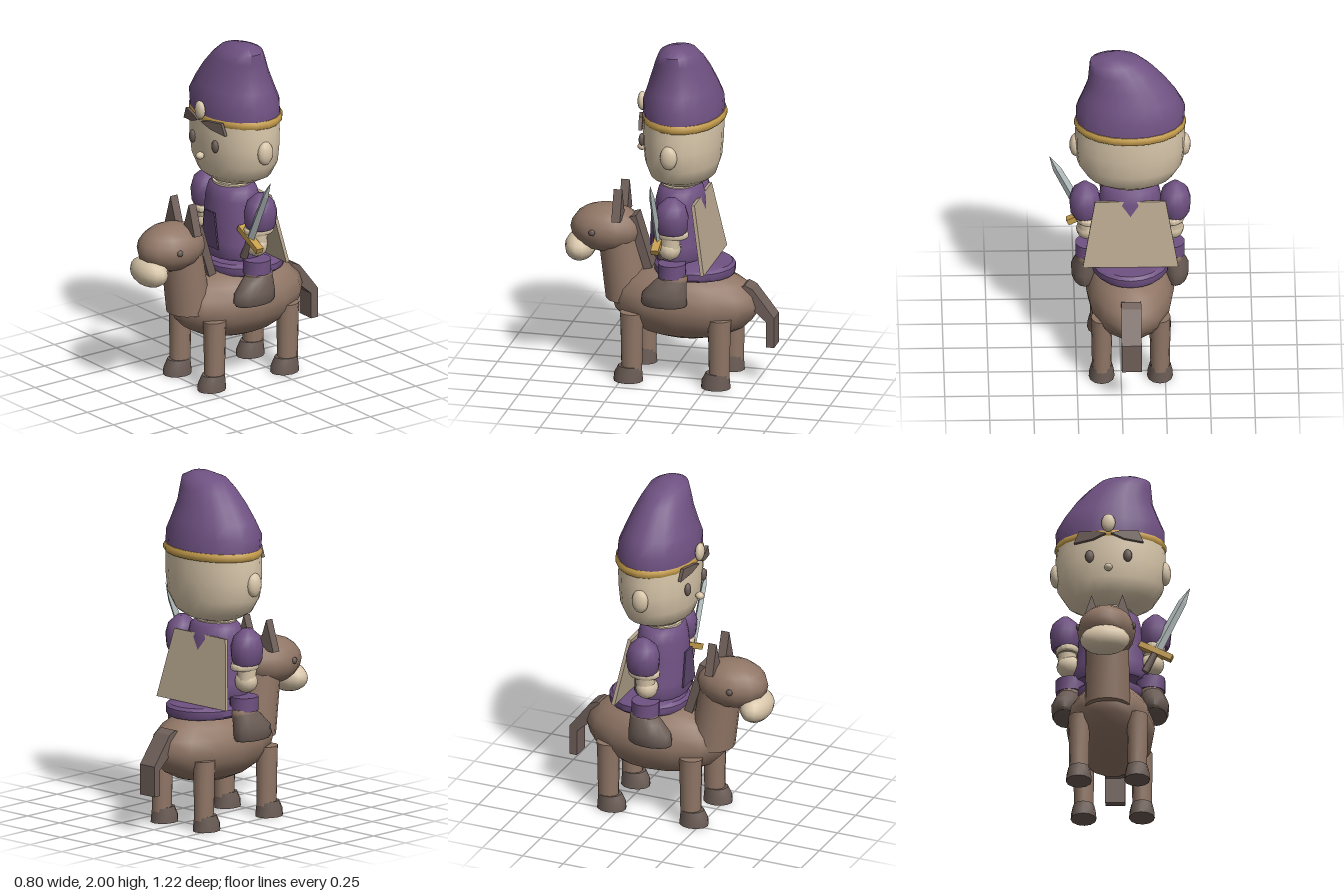
import * as THREE from 'three';
import { toCreasedNormals } from 'three/addons/utils/BufferGeometryUtils.js';

const colours = {
  purple: 0x6f5182, darkPurple: 0x5c456c, skin: 0xd8c6aa, coat: 0x907666, hoofBrown: 0x6b5c55,
  maneBrown: 0x70605a, gold: 0xc49c4c, steel: 0xb6c0c0, capeTan: 0xb8a78f,
};
const mats = {};

// Stacked ellipses, rows listed from bottom to top: [y, rx, rz, cx, cz]
function loft(rows, n = 16, crease = 0.75) {
  const all = [[rows[0][0], 0, 0, rows[0][3], rows[0][4]], ...rows];
  const top = rows[rows.length - 1];
  all.push([top[0], 0, 0, top[3], top[4]]);
  const pos = [], idx = [];
  all.forEach(([y, rx, rz, cx = 0, cz = 0], i) => {
    for (let j = 0; j < n; j++) {
      const a = (j / n) * Math.PI * 2;
      pos.push(cx + rx * Math.sin(a), y, cz + rz * Math.cos(a));
      if (i === all.length - 1) continue;
      const p = i * n + j, q = i * n + ((j + 1) % n);
      if (i > 0) idx.push(p, q, q + n);
      if (i < all.length - 2) idx.push(p, q + n, p + n);
      if (i === 0) idx.splice(idx.length - 3, 3, p, q + n, p + n);
    }
  });
  const g = new THREE.BufferGeometry();
  g.setAttribute('position', new THREE.Float32BufferAttribute(pos, 3));
  g.setIndex(idx);
  return toCreasedNormals(g, crease);
}

const ellipsoid = (rx, ry, rz, w = 14, h = 10) => new THREE.SphereGeometry(1, w, h).scale(rx, ry, rz);

// Flat outline thickened along z and centred on it
function plate(points, depth) {
  const shape = new THREE.Shape(points.map(([x, y]) => new THREE.Vector2(x, y)));
  return new THREE.ExtrudeGeometry(shape, { depth, bevelEnabled: false }).translate(0, 0, -depth / 2);
}

function add(parent, name, geo, colour, x = 0, y = 0, z = 0) {
  const m = new THREE.Mesh(geo, mats[colour]);
  m.name = name;
  m.position.set(x, y, z);
  parent.add(m);
  return m;
}

function buildHorse(root) {
  const horse = new THREE.Group();
  horse.name = 'horse';
  root.add(horse);
  add(horse, 'horseBody', ellipsoid(0.25, 0.22, 0.43, 14, 10).rotateY(0), 'coat', 0, 0.455, -0.085);
  add(horse, 'horseNeck', loft([[0.44, 0.13, 0.13, 0, 0.25], [0.85, 0.12, 0.12, 0, 0.31]]), 'coat');
  add(horse, 'horseHead', ellipsoid(0.165, 0.14, 0.21), 'coat', 0, 0.85, 0.375);
  add(horse, 'muzzle', ellipsoid(0.142, 0.087, 0.088), 'skin', 0, 0.73, 0.527);

  // Mane strip down the back of the neck
  const mane = add(horse, 'mane', new THREE.BoxGeometry(0.113, 0.36, 0.05), 'maneBrown', 0, 0.77, 0.165);
  mane.rotation.x = 0.3;

  // Bent tail, side outline as (z, y)
  const tail = plate([[-0.37, 0.55], [-0.44, 0.585], [-0.485, 0.565], [-0.612, 0.4],
    [-0.612, 0.225], [-0.565, 0.225], [-0.565, 0.375]].map(([z, y]) => [-z, y]), 0.113);
  add(horse, 'tail', tail.rotateY(Math.PI / 2), 'maneBrown');

  for (const s of [-1, 1]) {
    add(horse, 'horseEar', plate(s > 0 ? [[0.025, 0.93], [0.145, 0.93], [0.088, 1.11]]
      : [[-0.145, 0.93], [-0.025, 0.93], [-0.088, 1.11]], 0.05), 'maneBrown', 0, 0, 0.29);
    add(horse, 'horseEye', ellipsoid(0.012, 0.019, 0.019, 10, 8), 'hoofBrown', s * 0.158, 0.86, 0.425);
    for (const z of [0.19, -0.32]) {
      add(horse, 'horseLeg', loft([[0.05, 0.054, 0.06], [0.36, 0.06, 0.066], [0.41, 0.06, 0.07]], 12), 'coat', s * 0.165, 0, z);
      add(horse, 'hoof', loft([[0, 0.073, 0.086], [0.04, 0.07, 0.083], [0.09, 0.06, 0.068, 0, -0.01]], 12), 'hoofBrown', s * 0.165, 0, z + 0.02);
    }
  }
  add(horse, 'saddle', loft([[0.63, 0.205, 0.225], [0.645, 0.22, 0.232], [0.68, 0.22, 0.232], [0.697, 0.2, 0.215]], 20), 'purple', 0, 0, -0.138);
}

function buildHead(rider) {
  add(rider, 'neck', loft([[1.11, 0.1, 0.09], [1.19, 0.1, 0.09]]), 'skin', 0, 0, -0.05);
  add(rider, 'head', loft([[1.165, 0.1, 0.075], [1.185, 0.17, 0.135], [1.225, 0.245, 0.185], [1.31, 0.3, 0.212],
    [1.42, 0.312, 0.222], [1.5, 0.312, 0.225], [1.58, 0.305, 0.222]], 20, 1), 'skin', 0, 0, -0.07);
  add(rider, 'nose', ellipsoid(0.024, 0.022, 0.026, 10, 8), 'skin', 0, 1.35, 0.172);
  for (const s of [-1, 1]) {
    add(rider, 'ear', ellipsoid(0.035, 0.07, 0.05, 12, 8), 'skin', s * 0.308, 1.405, -0.06);
    add(rider, 'eye', ellipsoid(0.025, 0.038, 0.018, 12, 8), 'hoofBrown', s * 0.108, 1.43, 0.146);
    // Bow tails spreading from the cap ornament
    const tail = add(rider, 'bowTail', plate([[0.015, 1.56], [0.06, 1.575], [0.17, 1.585], [0.2, 1.515], [0.09, 1.53]]
      .map(([x, y]) => [s * x, y]), 0.02), 'maneBrown', 0, 0, 0.172);
    tail.rotation.y = s * 0.2;
  }
  // Leaning cap with a gold band
  add(rider, 'cap', loft([[1.57, 0.305, 0.226, 0, -0.075], [1.67, 0.309, 0.225, -0.003, -0.07], [1.75, 0.27, 0.196, 0.003, -0.068],
    [1.84, 0.22, 0.164, 0.019, -0.065], [1.915, 0.182, 0.134, 0.05, -0.062], [1.97, 0.146, 0.106, 0.081, -0.06],
    [2.0, 0.055, 0.045, 0.11, -0.06]], 20, 1), 'purple');
  add(rider, 'capBand', loft([[1.548, 0.308, 0.226], [1.56, 0.317, 0.235], [1.582, 0.317, 0.235], [1.595, 0.308, 0.226]], 20), 'gold', 0, 0, -0.078);
  add(rider, 'capBead', ellipsoid(0.04, 0.055, 0.025, 12, 8), 'skin', 0, 1.625, 0.172);
}

function buildSword(rider) {
  const sword = new THREE.Group();
  sword.name = 'sword';
  sword.position.set(0.26, 0.89, 0.01);
  sword.rotation.z = -0.46;
  rider.add(sword);
  // Diamond section blade
  const blade = loft([[0, 0.032, 0.02], [0.34, 0.024, 0.016], [0.437, 0.001, 0.001]], 4, 0.1);
  add(sword, 'blade', blade, 'steel');
  add(sword, 'guard', new THREE.BoxGeometry(0.205, 0.034, 0.045), 'gold');
  add(sword, 'grip', new THREE.CylinderGeometry(0.019, 0.022, 0.14, 8), 'maneBrown', 0, -0.07, 0);
}

function buildRider(root) {
  const rider = new THREE.Group();
  rider.name = 'rider';
  root.add(rider);
  add(rider, 'tunic', loft([[0.73, 0.2, 0.145], [0.75, 0.215, 0.155], [0.82, 0.2, 0.155], [0.95, 0.183, 0.15], [1.07, 0.175, 0.14],
    [1.13, 0.16, 0.125], [1.155, 0.13, 0.105]], 18, 1), 'purple', 0, 0, -0.055);
  add(rider, 'collar', loft([[1.135, 0.125, 0.105], [1.162, 0.125, 0.105]]), 'skin', 0, 0, -0.05);
  const panel = add(rider, 'frontPanel', plate([[-0.08, 0.79], [0.08, 0.79], [0.045, 1.0], [-0.045, 1.0]], 0.009), 'darkPurple', 0, 0, 0.102);
  panel.castShadow = false;

  // Cape sloping away from the shoulders
  const cape = add(rider, 'cape', plate([[-0.27, -0.2], [0.27, -0.2], [0.2, 0.2], [-0.2, 0.2]], 0.02), 'capeTan', 0, 0.895, -0.21);
  cape.rotation.x = 0.18;

  for (const s of [-1, 1]) {
    add(rider, 'sleeve', loft([[0.94, 0.07, 0.08, 0, 0], [0.965, 0.083, 0.092], [1.04, 0.09, 0.098], [1.1, 0.074, 0.08],
      [1.145, 0.025, 0.03]], 14, 1), 'purple', s * 0.255, 0, -0.065);
    add(rider, 'cuff', loft([[0.908, 0.064, 0.086], [0.918, 0.07, 0.094], [0.938, 0.07, 0.094], [0.948, 0.064, 0.086]], 14), 'skin', s * 0.24, 0, -0.065);
    add(rider, 'forearm', loft([[0.82, 0.05, 0.052], [0.92, 0.055, 0.06]], 12), 'skin', s * 0.245, 0, -0.055);
    add(rider, 'hand', ellipsoid(0.07, 0.066, 0.064, 12, 8), 'skin', s * 0.235, 0.835, -0.05);
    // Legs and boots beside the saddle
    add(rider, 'thigh', loft([[0.67, 0.083, 0.08], [0.75, 0.083, 0.08]], 14), 'purple', s * 0.228, 0, -0.06);
    add(rider, 'bootCuff', loft([[0.635, 0.064, 0.08], [0.65, 0.069, 0.085], [0.665, 0.069, 0.085], [0.68, 0.064, 0.08]], 14), 'coat', s * 0.232, 0, -0.067);
    add(rider, 'boot', loft([[0.5, 0.066, 0.125, s * 0.02, -0.02], [0.515, 0.074, 0.135, s * 0.02, -0.02], [0.57, 0.078, 0.13, s * 0.02, -0.023],
      [0.63, 0.07, 0.1, s * 0.008, -0.05], [0.67, 0.06, 0.076, 0, -0.07]], 14, 1), 'hoofBrown', s * 0.236, 0, 0);
  }
  buildHead(rider);
  buildSword(rider);
}

export function createModel() {
  for (const [name, color] of Object.entries(colours)) {
    mats[name] = new THREE.MeshStandardMaterial({ color });
    mats[name].name = name;
  }
  const model = new THREE.Group();
  model.name = 'mountedRider';
  const root = new THREE.Group();
  root.name = 'figure';
  root.position.x = -0.055;
  model.add(root);
  buildHorse(root);
  buildRider(root);
  return model;
}
